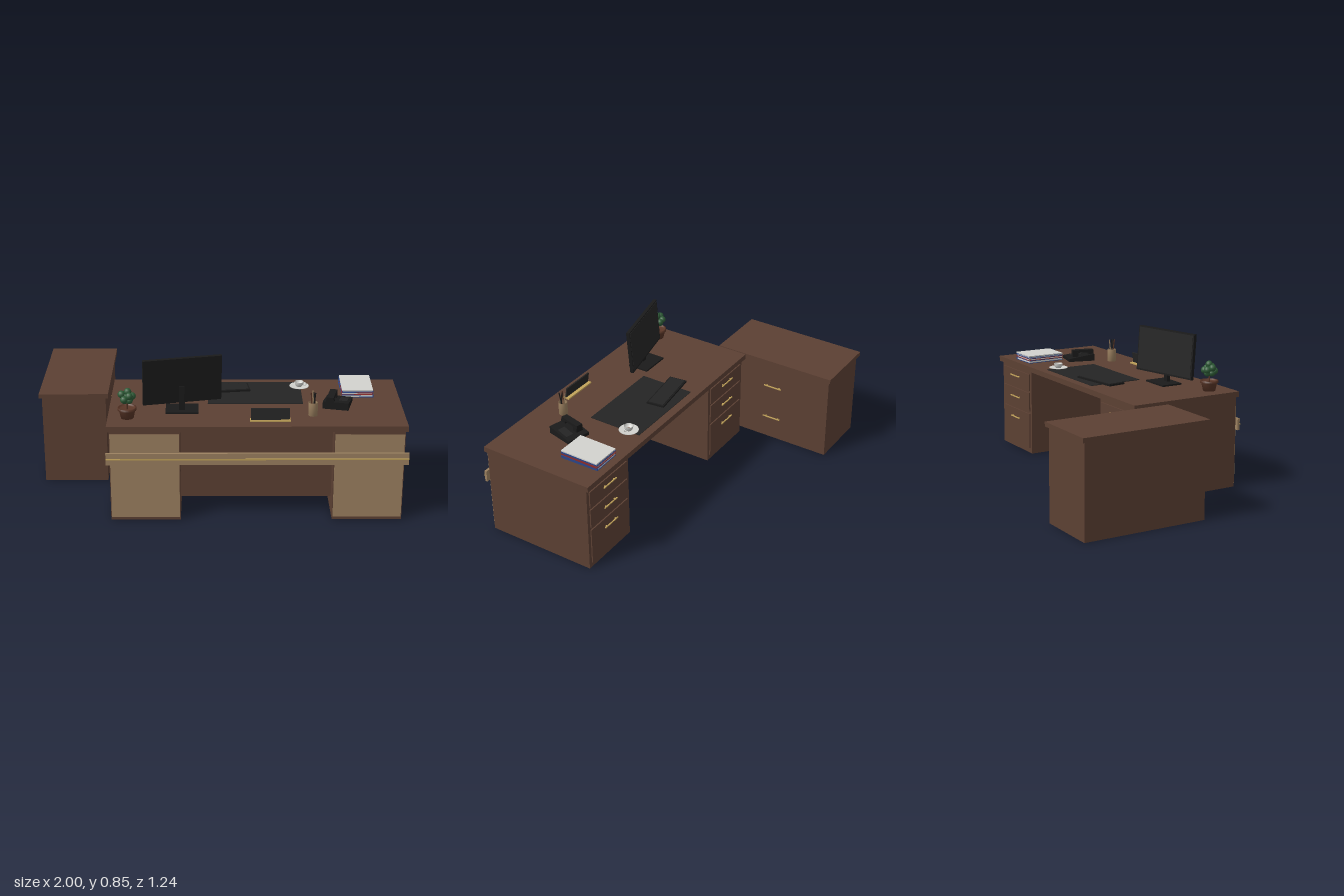
import * as THREE from 'three';

const mat = (name, color, extra) => {
  const m = new THREE.MeshStandardMaterial({ color, ...extra });
  m.name = name;
  return m;
};

export function createModel() {
  const root = new THREE.Group();
  root.name = 'officeDesk';
  const wood = mat('darkWood', 0x5c4033);
  const tan = mat('lightWood', 0x9c8160);
  const gold = mat('brass', 0xc2a35a);
  const black = mat('blackPlastic', 0x1a1a1a);
  const grey = mat('charcoal', 0x242424);
  const green = mat('leafGreen', 0x2d5a36);
  const white = mat('whitePaper', 0xd2d2ce, { side: THREE.DoubleSide });
  const blue = mat('blueCover', 0x2c4688);
  const red = mat('redCover', 0x8c2b2b);
  const clay = mat('clayBrown', 0x5a3627);

  const add = (name, geo, m, x = 0, y = 0, z = 0, parent = root) => {
    const mesh = new THREE.Mesh(geo, m);
    mesh.name = name;
    mesh.position.set(x, y, z);
    parent.add(mesh);
    return mesh;
  };
  // Box given by its min and max on each axis
  const span = (name, m, x0, x1, y0, y1, z0, z1, parent = root) =>
    add(name, new THREE.BoxGeometry(x1 - x0, y1 - y0, z1 - z0), m,
      (x0 + x1) / 2, (y0 + y1) / 2, (z0 + z1) / 2, parent);
  const group = (name, x, y, z, ry = 0) => {
    const g = new THREE.Group();
    g.name = name;
    g.position.set(x, y, z);
    g.rotation.y = ry;
    root.add(g);
    return g;
  };
  // Bar pull on two posts, standing out along its own -z
  const handle = (x, y, z, ry) => {
    const g = group('drawerHandle', x, y, z, ry);
    span('handleBar', gold, -0.057, 0.057, -0.003, 0.003, -0.015, -0.009, g);
    for (const s of [-0.04, 0.04])
      span('handlePost', gold, s - 0.003, s + 0.003, -0.003, 0.003, -0.01, 0, g);
  };

  // Desk top, pedestals and modesty panel
  span('deskTop', wood, -0.59, 0.99, 0.515, 0.546, -0.07, 0.61);
  for (const [x0, x1] of [[-0.578, -0.205], [0.605, 0.978]]) {
    span('pedestal', wood, x0, x1, 0, 0.515, -0.05, 0.598);
    span('frontPanel', tan, x0 + 0.004, x1 - 0.004, 0.017, 0.497, 0.598, 0.603);
    for (const [y0, y1, h] of [[0.39, 0.49, 0.455], [0.26, 0.375, 0.325], [0.03, 0.245, 0.195]]) {
      span('drawerFront', wood, x0 + 0.02, x1 - 0.02, y0, y1, -0.057, -0.05);
      handle((x0 + x1) / 2, h, -0.055, 0);
    }
  }
  span('modestyPanel', wood, -0.205, 0.605, 0.09, 0.515, 0.48, 0.5);

  // Rail across the front with a brass inlay
  span('frontRail', tan, -0.597, 1.0, 0.328, 0.394, 0.6, 0.614);
  span('railInlay', gold, -0.597, 1.0, 0.358, 0.365, 0.614, 0.618);

  // Side cabinet
  span('cabinetBody', wood, -0.985, -0.63, 0, 0.51, -0.605, 0.11);
  span('cabinetTop', wood, -1.0, -0.615, 0.51, 0.535, -0.62, 0.125);
  for (const y of [0.36, 0.145]) handle(-0.63, y, -0.245, -Math.PI / 2);

  // Monitor, its screen facing the seat at the back
  span('monitorBase', black, -0.285, -0.11, 0.546, 0.555, 0.31, 0.435);
  span('monitorNeck', black, -0.212, -0.182, 0.55, 0.69, 0.385, 0.405);
  const monitor = group('monitor', -0.195, 0.722, 0.387, 0.22);
  monitor.rotation.order = 'YXZ';
  monitor.rotation.x = 0.08;
  span('monitorCase', black, -0.213, 0.213, -0.128, 0.128, -0.01, 0.01, monitor);
  span('screen', grey, -0.205, 0.205, -0.118, 0.12, -0.012, -0.01, monitor);

  // Desk mat and keyboard
  span('deskMat', grey, -0.06, 0.457, 0.546, 0.549, -0.022, 0.298);
  const keyboard = group('keyboard', 0.02, 0.549, 0.086, 0.13);
  span('keyboardCase', black, -0.15, 0.15, 0, 0.01, -0.052, 0.052, keyboard);
  span('keyField', grey, -0.142, 0.142, 0.01, 0.013, -0.044, 0.044, keyboard);

  // Telephone: wedge body with handset and keypad
  const phone = group('telephone', 0.645, 0.546, 0.302, -0.24);
  const side = new THREE.Shape([[-0.08, 0], [0.08, 0], [0.08, 0.042], [-0.08, 0.018]]
    .map(([a, b]) => new THREE.Vector2(a, b)));
  const wedge = new THREE.ExtrudeGeometry(side, { depth: 0.14, bevelEnabled: false });
  wedge.translate(0, 0, -0.07).rotateY(-Math.PI / 2);
  add('phoneBody', wedge, black, 0, 0, 0, phone);
  span('handset', black, -0.05, -0.012, 0.05, 0.066, -0.05, 0.08, phone);
  for (const z of [-0.034, 0.064])
    span('handsetCup', black, -0.052, -0.01, 0.025, 0.054, z - 0.016, z + 0.016, phone);
  const pad = span('keypad', grey, 0.01, 0.055, -0.002, 0.002, -0.045, 0.03, phone);
  pad.position.y = 0.029;
  pad.rotation.x = -0.149;

  // Books: coloured covers around pages, loose sheets on top
  [[blue, 0, 0.016, 0.02], [red, 0.016, 0.012, -0.02], [blue, 0.028, 0.01, 0.012]].forEach(([m, y, h, r]) => {
    const book = group('book', 0.762, 0.546 + y, 0.09, r);
    span('lowerCover', m, -0.085, 0.085, 0, 0.003, -0.115, 0.115, book);
    span('pages', white, -0.082, 0.081, 0.003, h - 0.003, -0.112, 0.112, book);
    span('upperCover', m, -0.085, 0.085, h - 0.003, h, -0.115, 0.115, book);
    span('spine', m, 0.081, 0.085, 0.003, h - 0.003, -0.115, 0.115, book);
  });
  const sheets = group('paperStack', 0.762, 0.584, 0.09, -0.01);
  span('sheets', white, -0.085, 0.085, 0, 0.007, -0.115, 0.115, sheets);

  // Turned pieces
  const lathe = (name, m, pts, x, y, z, parent) =>
    add(name, new THREE.LatheGeometry(pts.map(([a, b]) => new THREE.Vector2(a, b)), 24), m, x, y, z, parent);

  // Cup and saucer
  const cup = group('cupAndSaucer', 0.45, 0.549, 0.05);
  lathe('saucer', white, [[0, 0], [0.03, 0], [0.055, 0.006], [0.054, 0.008], [0.03, 0.004], [0, 0.004]], 0, 0, 0, cup);
  lathe('cup', white, [[0, 0.004], [0.015, 0.004], [0.023, 0.015], [0.026, 0.031], [0.024, 0.031], [0.02, 0.016], [0, 0.008]], 0, 0, 0, cup);
  add('coffee', new THREE.CylinderGeometry(0.013, 0.013, 0.002, 20), clay, 0, 0.011, 0, cup);
  add('cupHandle', new THREE.TorusGeometry(0.009, 0.0022, 6, 16), white, 0.03, 0.018, 0, cup);

  // Pencil pot
  const pot = group('pencilPot', 0.5, 0.546, 0.452);
  lathe('potBody', tan, [[0, 0], [0.025, 0], [0.025, 0.073], [0.021, 0.073], [0.021, 0.006], [0, 0.006]], 0, 0, 0, pot);
  [[black, 0.008, 0.006, -0.08, 0.1], [clay, -0.008, 0.005, 0.1, 0.08], [tan, 0, -0.009, -0.14, 0.02], [black, 0.004, 0.008, 0.12, -0.1]]
    .forEach(([m, x, z, rx, rz]) => {
      const p = add('pencil', new THREE.CylinderGeometry(0.0035, 0.0035, 0.125, 8), m, x, 0.07, z, pot);
      p.rotation.set(rx, 0, rz);
    });

  // Name plate leaning back on a brass foot
  span('plateFoot', gold, 0.163, 0.377, 0.546, 0.554, 0.508, 0.545);
  const plate = span('namePlate', grey, 0.168, 0.372, 0.552, 0.614, 0.523, 0.531);
  plate.rotation.x = -0.15;

  // Potted plant
  const plant = group('pottedPlant', -0.485, 0.546, 0.482);
  lathe('plantPot', clay, [[0, 0], [0.034, 0], [0.044, 0.045], [0.05, 0.045], [0.05, 0.058], [0.043, 0.058], [0.041, 0.048], [0, 0.048]], 0, 0, 0, plant);
  add('stem', new THREE.CylinderGeometry(0.004, 0.005, 0.06, 8), clay, 0, 0.075, 0, plant);
  const leaf = new THREE.SphereGeometry(0.02, 12, 8);
  add('leafTop', leaf, green, 0.005, 0.147, 0, plant);
  add('leafCore', leaf, green, 0, 0.12, 0, plant);
  for (let i = 0; i < 6; i++) {
    const a = i * Math.PI / 3;
    add('leafClump', leaf, green, 0.028 * Math.cos(a), 0.122 + 0.012 * Math.sin(i * 2.4), 0.028 * Math.sin(a), plant);
  }
  for (let i = 0; i < 3; i++) {
    const a = i * Math.PI * 2 / 3 + 0.5;
    add('leafClump', leaf, green, 0.014 * Math.cos(a), 0.1, 0.014 * Math.sin(a), plant);
  }
  return root;
}
